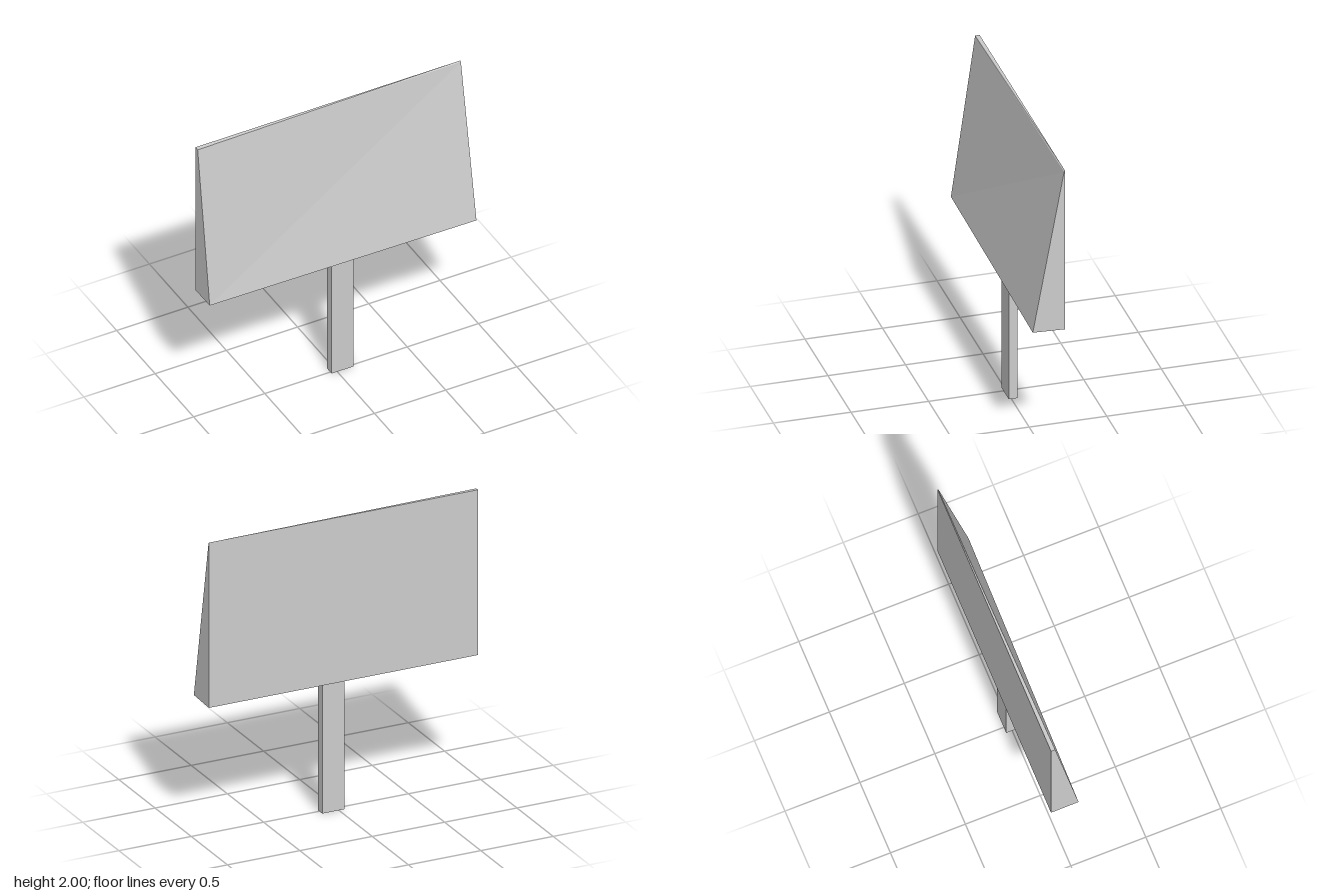
import * as THREE from 'three';

const material = new THREE.MeshStandardMaterial({ color: 0xcccccc, flatShading: true });

function addBox(group, name, [x0, x1], [y0, y1], [z0, z1]) {
  const geometry = new THREE.BoxGeometry(x1 - x0, y1 - y0, z1 - z0);
  geometry.translate((x0 + x1) / 2, (y0 + y1) / 2, (z0 + z1) / 2);
  const mesh = new THREE.Mesh(geometry, material);
  mesh.name = name;
  group.add(mesh);
  return mesh;
}

export function createModel() {
  const group = new THREE.Group();
  group.name = 'signBoard';

  // Flat rectangular post, slightly off centre
  addBox(group, 'post', [-0.04, 0.115], [0, 0.893], [-0.04, 0.017]);

  // Wedge board: flat back, leaning front face that twists along its width
  const board = addBox(group, 'board', [-0.93, 0.93], [0.89, 2], [-0.104, 0.1]);
  const p = board.geometry.attributes.position;
  for (let i = 0; i < p.count; i++) {
    if (p.getZ(i) < 0) continue;
    const top = p.getY(i) > 1.5;
    const left = p.getX(i) > 0;
    if (top) p.setZ(i, left ? -0.098 : -0.076);
    else p.setZ(i, left ? 0.104 : 0.08);
    p.setY(i, top ? (left ? 1.993 : 1.998) : (left ? 0.897 : 0.893));
  }
  board.geometry.computeVertexNormals();

  return group;
}
